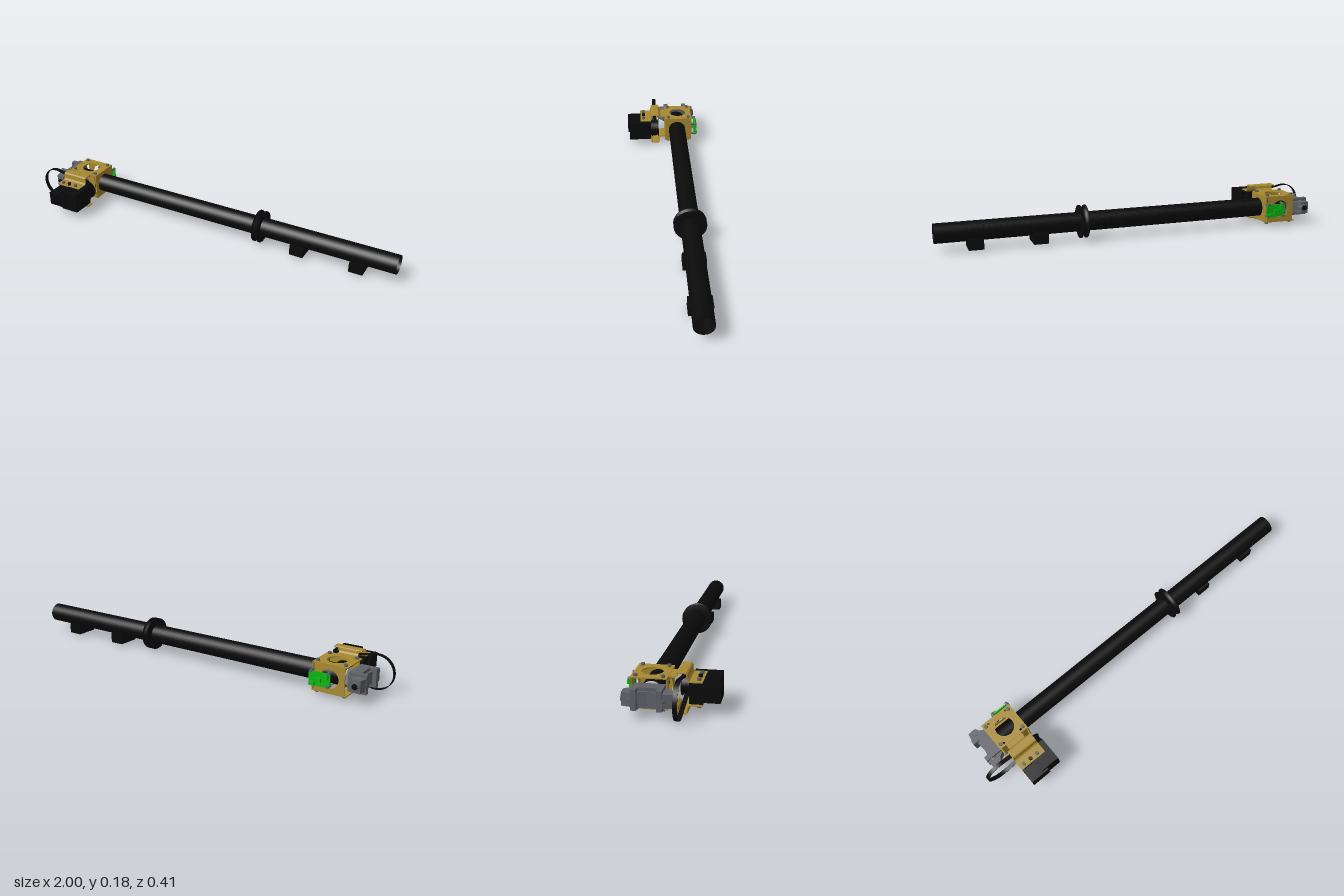
import * as THREE from 'three';

const mat = (color) => new THREE.MeshStandardMaterial({ color, side: THREE.DoubleSide });
const CY = 0.095, CZ = -0.084; // tube axis

export function createModel() {
  const root = new THREE.Group();
  const black = mat(0x0a0a0a), gold = mat(0xa88a30), grey = mat(0x606268),
    green = mat(0x0cb814), white = mat(0xffffff);

  const add = (name, geo, m, x = 0, y = 0, z = 0) => {
    const mesh = new THREE.Mesh(geo, m);
    mesh.name = name;
    mesh.position.set(x, y, z);
    root.add(mesh);
    return mesh;
  };
  // Box from its limits on each axis
  const box = (name, m, x0, x1, y0, y1, z0, z1) =>
    add(name, new THREE.BoxGeometry(x1 - x0, y1 - y0, z1 - z0), m, (x0 + x1) / 2, (y0 + y1) / 2, (z0 + z1) / 2);
  const cyl = (name, m, axis, r0, r1, len, x, y, z, seg = 24) => {
    const g = new THREE.CylinderGeometry(r1, r0, len, seg);
    if (axis === 'x') g.rotateZ(-Math.PI / 2);
    if (axis === 'z') g.rotateX(Math.PI / 2);
    return add(name, g, m, x, y, z);
  };
  // Ring profile of [radius, position] turned about the x axis
  const turned = (name, m, pts, x, y, z) => {
    const g = new THREE.LatheGeometry(pts.map(p => new THREE.Vector2(...p)), 40);
    g.rotateZ(-Math.PI / 2);
    const mesh = add(name, g, m, x, y, z);
    return mesh;
  };
  const extrude = (shape, depth) =>
    new THREE.ExtrudeGeometry(shape, { depth, bevelEnabled: false, curveSegments: 24 });
  // Sheet centred on the origin with circular holes [x, y, radius]
  const plate = (w, h, t, holes) => {
    const s = new THREE.Shape();
    s.moveTo(-w / 2, -h / 2); s.lineTo(w / 2, -h / 2);
    s.lineTo(w / 2, h / 2); s.lineTo(-w / 2, h / 2); s.closePath();
    for (const [x, y, r] of holes) s.holes.push(new THREE.Path().absarc(x, y, r, 0, Math.PI * 2, true));
    return extrude(s, t).translate(0, 0, -t / 2);
  };

  // Long open tube with its inner end fittings
  turned('tube', black, [[0.045, -0.835], [0.048, -0.835], [0.048, 1], [0.045, 1], [0.045, -0.835]], 0, CY, CZ);
  turned('innerRing', gold, [[0.041, 0], [0.045, 0], [0.045, 0.02], [0.041, 0.02], [0.041, 0]], -0.83, CY, CZ);
  cyl('endCap', white, 'x', 0.044, 0.044, 0.006, -0.835, CY, CZ, 32);
  cyl('endHub', black, 'x', 0.018, 0.018, 0.02, -0.825, CY, CZ);

  // Grooved collar around the tube
  turned('collar', black, [[0.047, -0.017], [0.082, -0.017], [0.082, -0.011], [0.07, -0.007],
    [0.07, 0.007], [0.082, 0.011], [0.082, 0.017], [0.047, 0.017]], 0.28, CY, CZ);

  // Saddle blocks under the tube
  for (const x of [0.5, 0.81])
    box('saddleBlock', black, x - 0.036, x + 0.036, 0.013, 0.065, -0.142, -0.03);

  // Sheet-metal joint housing
  const X0 = -0.865, X1 = -0.695, MX = (X0 + X1) / 2, MZ = -0.092, T = 0.005;
  const corners = [-1, 1].flatMap(a => [-1, 1].map(b => [a, b]));
  const small = corners.map(([a, b]) => [a * 0.052, b * 0.062, 0.006]);
  for (const y of [0.028, 0.162])
    add('housingPlate', plate(0.17, 0.155, T, [[0, 0, 0.047], ...small]).rotateX(Math.PI / 2), gold, MX, y, MZ);
  add('housingEnd', plate(0.155, 0.134, T, [[CZ - MZ, 0, 0.049]]).rotateY(-Math.PI / 2), gold, X1 - T / 2, CY, MZ);
  for (const z of [-0.167, -0.017])
    add('housingSide', plate(0.15, 0.134, T, [[0, 0, 0.045]]), gold, MX, CY, z);

  // Screws on the housing
  for (const [a, b] of corners)
    for (const [y, s] of [[0.162, 1], [0.028, -1]])
      cyl('housingScrew', grey, 'y', 0.009, 0.009, 0.012, MX + a * 0.068, y + s * 0.006, MZ + b * 0.058, 12);

  // Grey output yoke with concave sides
  const side = [[-0.865, 0.075], [-0.885, 0.085], [-0.895, 0.105], [-0.937, 0.105], [-0.945, 0.065], [-0.93, 0.05]];
  const outline = [...side, [-0.922, 0], ...side.map(([x, z]) => [x, -z]).reverse()];
  const yoke = new THREE.Shape(outline.map(p => new THREE.Vector2(...p)));
  add('yoke', extrude(yoke, 0.06).rotateX(Math.PI / 2), grey, 0, CY + 0.03, CZ);
  box('yokeBody', grey, -0.948, -0.862, 0.05, 0.14, CZ - 0.066, CZ - 0.042);
  box('yokeBody', grey, -0.948, -0.862, 0.05, 0.14, CZ + 0.042, CZ + 0.066);
  box('yokeWeb', grey, -0.915, -0.862, 0.05, 0.14, CZ - 0.06, CZ + 0.06);
  for (const s of [-1, 1]) {
    cyl('yokeBoss', grey, 'z', s > 0 ? 0.036 : 0.02, s > 0 ? 0.02 : 0.036, 0.05, -0.913, CY, CZ + s * 0.085);
    cyl('yokeBore', black, 'z', 0.014, 0.014, 0.004, -0.913, CY, CZ + s * 0.11);
  }

  // Stepped brackets joining the housing to the motor, above and below
  const path = [[-0.02, 0.067], [0.011, 0.067], [0.018, 0.074], [0.02, 0.087], [0.025, 0.091],
    [0.061, 0.091], [0.067, 0.086], [0.069, 0.062], [0.075, 0.054], [0.13, 0.054]];
  const strip = (pts, sign, x0, x1) => {
    const v = pts.map(([z, y]) => new THREE.Vector2(z, y * sign));
    const inner = v.map((p, i) => {
      const d = v[Math.min(i + 1, v.length - 1)].clone().sub(v[Math.max(i - 1, 0)]).normalize();
      return new THREE.Vector2(p.x + d.y * T * sign, p.y - d.x * T * sign);
    });
    const g = extrude(new THREE.Shape([...v, ...inner.reverse()]), x1 - x0).rotateY(-Math.PI / 2);
    return add('motorBracket', g, gold, x1, CY, 0);
  };
  for (const s of [-1, 1]) {
    strip(path.slice(0, 4), s, -0.83, -0.735);
    strip(path.slice(3), s, -0.845, -0.705);
    for (const x of [-0.82, -0.78, -0.74])
      cyl('bracketScrew', x === -0.78 ? black : grey, 'y', 0.009, 0.009, 0.012, x, CY + s * 0.06, 0.112, 12);
  }

  // Motor, connector housing and drive pulley
  box('motorBody', black, -0.775, -0.677, 0.045, 0.147, 0.075, 0.195);
  box('motorFlange', black, -0.835, -0.677, 0.047, 0.143, 0.072, 0.13);
  box('motorConnector', black, -0.845, -0.745, 0.06, 0.13, 0.125, 0.205);
  const PX = -0.725;
  cyl('pulley', black, 'z', 0.043, 0.043, 0.045, PX, CY, 0.048, 32);
  for (const z of [0.027, 0.061])
    cyl('pulleyFlange', black, 'z', 0.051, 0.051, 0.004, PX, CY, z, 32);

  // Belt looped round the pulley and the joint axis
  const BX = -0.915, R = 0.085, r = 0.046;
  const a = Math.acos((R - r) / (PX - BX));
  const loop = (path2, t) => {
    path2.absarc(BX, 0, R - t, a, Math.PI * 2 - a, false);
    path2.absarc(PX, 0, r - t, -a, a, false);
    path2.closePath();
    return path2;
  };
  const belt = loop(new THREE.Shape(), 0);
  belt.holes.push(loop(new THREE.Path(), 0.004));
  add('belt', extrude(belt, 0.02), black, 0, CY, 0.034);

  // Circuit board on standoffs at the back
  box('circuitBoard', green, -0.795, -0.69, 0.06, 0.127, -0.193, -0.187);
  for (const [x, y] of [[-0.775, 0.11], [-0.74, 0.09], [-0.71, 0.07]])
    box('boardChip', green, x - 0.012, x + 0.012, y - 0.009, y + 0.009, -0.203, -0.19);
  for (const x of [-0.785, -0.7])
    for (const y of [0.065, 0.127])
      cyl('standoff', grey, 'z', 0.007, 0.007, 0.034, x, y, -0.182, 12);
  return root;
}
